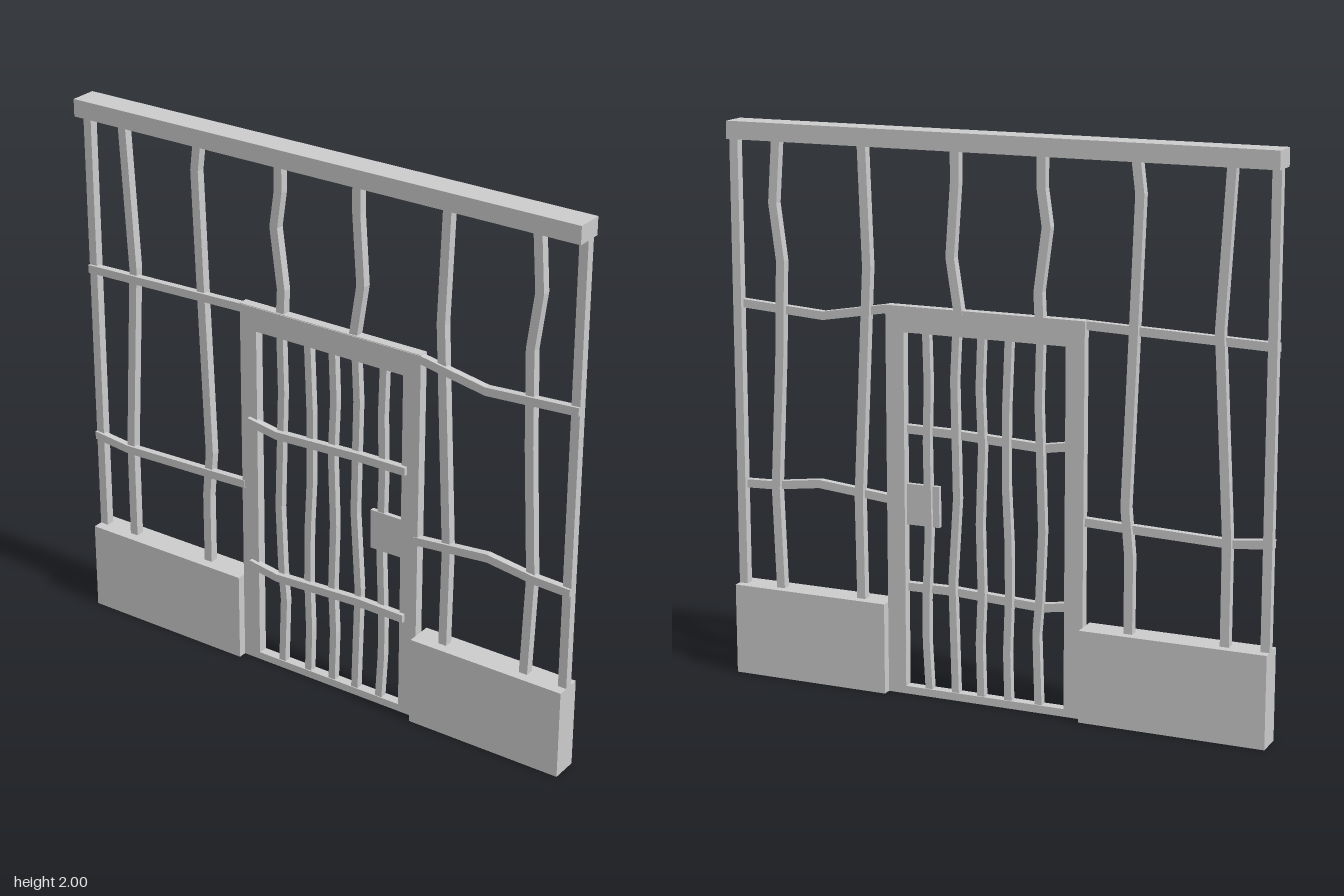
import * as THREE from 'three';

const material = new THREE.MeshStandardMaterial({ color: 0xcccccc, flatShading: true });
const openMaterial = new THREE.MeshStandardMaterial({
  color: 0xcccccc, flatShading: true, side: THREE.DoubleSide,
});

export function createModel() {
  const group = new THREE.Group();

  function add(name, geometry) {
    const mesh = new THREE.Mesh(geometry, material);
    mesh.name = name;
    group.add(mesh);
    return mesh;
  }

  // Box given by its limits on each axis
  function box(name, x0, x1, y0, y1, z0, z1) {
    const mesh = add(name, new THREE.BoxGeometry(x1 - x0, y1 - y0, z1 - z0));
    mesh.position.set((x0 + x1) / 2, (y0 + y1) / 2, (z0 + z1) / 2);
    return mesh;
  }

  // Flat outline given depth from z0 to z1
  function plate(name, shape, z0, z1) {
    const geometry = new THREE.ExtrudeGeometry(shape, { depth: z1 - z0, bevelEnabled: false });
    geometry.translate(0, 0, z0);
    return add(name, geometry);
  }

  // Bent square bar: a polyline thickened across x (upright) or y (rail)
  function bar(name, path, width, z0, z1, upright) {
    const h = width / 2;
    const side = (s) => path.map(([x, y]) =>
      upright ? new THREE.Vector2(x + s * h, y) : new THREE.Vector2(x, y + s * h));
    plate(name, new THREE.Shape([...side(-1), ...side(1).reverse()]), z0, z1);
  }

  // Top beam
  box('topBeam', -1, 1, 1.937, 2, -0.045, 0.055);

  // Low walls either side of the door, open underneath
  for (const [name, x0, x1] of [['rightBase', -1, -0.332], ['leftBase', 0.405, 1]]) {
    const wall = box(name, x0, x1, 0, 0.33, -0.055, 0.045);
    const index = Array.from(wall.geometry.index.array);
    index.splice(18, 6);
    wall.geometry.setIndex(index);
    wall.geometry.clearGroups();
    wall.material = openMaterial;
  }

  // Straight end posts
  box('rightPost', -1, -0.968, 0.01, 1.94, -0.024, 0.008);
  box('leftPost', 0.968, 1, 0.01, 1.94, -0.024, 0.008);

  // Bent wall uprights
  const uprights = [
    [[-0.842, 0.01], [-0.842, 0.7], [-0.803, 1.4], [-0.833, 1.94]],
    [[-0.498, 0.01], [-0.498, 0.6], [-0.482, 0.77], [-0.502, 1.3], [-0.521, 1.83], [-0.507, 1.94]],
    [[-0.168, 1.38], [-0.163, 1.48], [-0.192, 1.7], [-0.173, 1.83], [-0.173, 1.94]],
    [[0.13, 1.38], [0.16, 1.575], [0.142, 1.83], [0.142, 1.94]],
    [[0.505, 0.01], [0.51, 0.33], [0.515, 0.7], [0.475, 1.52], [0.49, 1.94]],
    [[0.832, 0.01], [0.832, 0.33], [0.845, 0.7], [0.82, 1.18], [0.81, 1.52], [0.836, 1.72], [0.82, 1.94]],
  ];
  uprights.forEach((path) => bar('wallUpright', path, 0.032, -0.024, 0.008, true));

  // Bent wall rails
  const rails = [
    [[-1, 1.357], [-0.335, 1.378], [0.405, 1.378], [0.655, 1.334], [1, 1.357]],
    [[-1, 0.698], [-0.85, 0.682], [-0.47, 0.694], [-0.32, 0.7]],
    [[0.39, 0.7], [0.68, 0.727], [0.86, 0.703], [1, 0.698]],
  ];
  rails.forEach((path) => bar('wallRail', path, 0.03, -0.008, 0.017, false));

  // Door frame
  const rectangle = (x0, x1, y0, y1) => [[x0, y0], [x1, y0], [x1, y1], [x0, y1]]
    .map(([x, y]) => new THREE.Vector2(x, y));
  const frame = new THREE.Shape(rectangle(-0.332, 0.405, 0, 1.395));
  frame.holes.push(new THREE.Path(rectangle(-0.264, 0.337, 0.028, 1.304)));
  plate('doorFrame', frame, -0.022, 0.014);

  // Bent door bars
  const doorBars = [
    [[-0.167, 0.02], [-0.158, 0.28], [-0.168, 0.4], [-0.178, 0.65], [-0.163, 1.1], [-0.168, 1.31]],
    [[-0.053, 0.02], [-0.048, 0.2], [-0.055, 0.4], [-0.053, 0.6], [-0.043, 0.8], [-0.043, 1.05], [-0.053, 1.31]],
    [[0.05, 0.02], [0.056, 0.22], [0.048, 0.4], [0.055, 0.65], [0.046, 0.92], [0.055, 1.13], [0.048, 1.31]],
    [[0.148, 0.02], [0.16, 0.43], [0.141, 0.73], [0.15, 1.15], [0.142, 1.31]],
    [[0.25, 0.02], [0.26, 0.2], [0.26, 0.35], [0.25, 0.6], [0.255, 0.92], [0.25, 1.13], [0.255, 1.31]],
  ];
  doorBars.forEach((path) => bar('doorBar', path, 0.027, -0.017, 0.01, true));

  // Door rails on the front of the bars
  const doorRails = [
    [[-0.295, 0.958], [-0.175, 0.938], [0.17, 0.955], [0.358, 0.957]],
    [[-0.295, 0.392], [-0.175, 0.373], [0.17, 0.39], [0.358, 0.387]],
  ];
  doorRails.forEach((path) => bar('doorRail', path, 0.03, 0.003, 0.028, false));

  // Lock plate, set towards the front of the frame
  box('lockPlate', 0.213, 0.35, 0.617, 0.764, -0.004, 0.013);

  return group;
}
